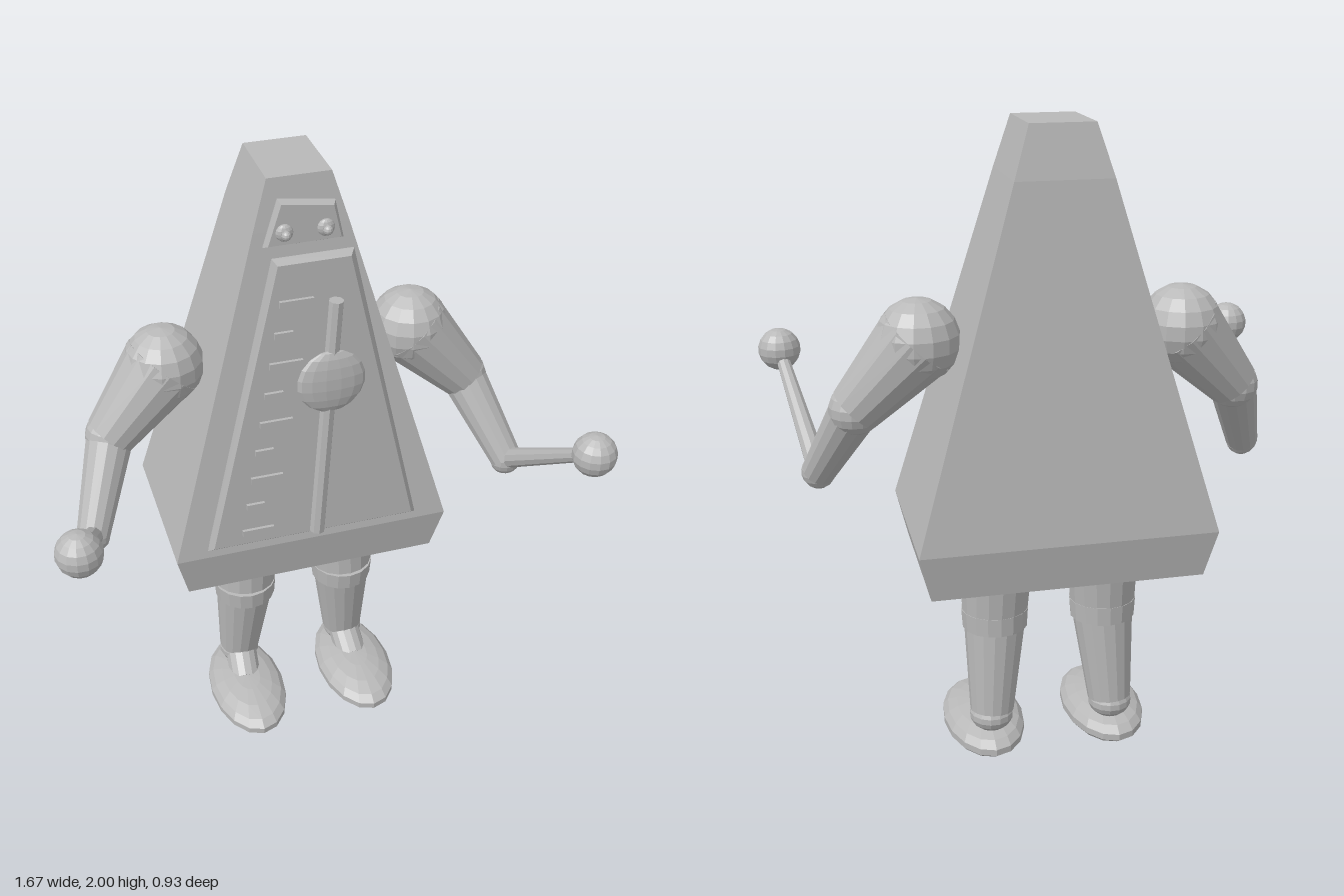
import * as THREE from 'three';

const grey = new THREE.MeshStandardMaterial({ color: 0xb8b8b8, flatShading: true });
grey.name = 'plain grey';
const V = (x, y, z) => new THREE.Vector3(x, y, z);

export function createModel() {
  const model = new THREE.Group();
  model.name = 'metronomeRobot';

  function add(name, geometry, parent = model) {
    const mesh = new THREE.Mesh(geometry, grey);
    mesh.name = name;
    parent.add(mesh);
    return mesh;
  }
  // Ball, stretched by separate radii where needed
  function ball(name, c, rx, ry = rx, rz = rx, parent = model, w = 14, h = 9) {
    const m = add(name, new THREE.SphereGeometry(1, w, h), parent);
    m.position.copy(c);
    m.scale.set(rx, ry, rz);
    return m;
  }
  // Tapered rod from a to b
  function limb(name, a, b, ra, rb, parent = model, sides = 14) {
    const d = b.clone().sub(a);
    const m = add(name, new THREE.CylinderGeometry(rb, ra, d.length(), sides), parent);
    m.position.copy(a).addScaledVector(d, 0.5);
    m.quaternion.setFromUnitVectors(V(0, 1, 0), d.normalize());
    return m;
  }
  // Bevelled plaque from outline points, spanning z0 to z1
  function plaque(name, points, z0, z1, bevel) {
    const shape = new THREE.Shape(points.map(p => new THREE.Vector2(p[0], p[1])));
    const t = (z1 - z0) / 2;
    const g = new THREE.ExtrudeGeometry(shape, {
      depth: 0.004, bevelEnabled: true, bevelSegments: 1,
      bevelThickness: t - 0.002, bevelSize: bevel, bevelOffset: -bevel,
    });
    g.translate(0, 0, z0 + t - 0.002);
    return add(name, g);
  }

  // Case: rectangular sections [y, half width, front z, back z]
  const levels = [
    [0.675, 0.41, 0.05, -0.44], [0.82, 0.445, 0.073, -0.465],
    [1.85, 0.142, -0.053, -0.35], [2, 0.095, -0.073, -0.32],
  ];
  const pos = [], idx = [];
  levels.forEach(([y, w, f, b]) => pos.push(-w, y, f, w, y, f, w, y, b, -w, y, b));
  for (let l = 0; l < 3; l++) {
    for (let i = 0; i < 4; i++) {
      const a = l * 4 + i, b = l * 4 + (i + 1) % 4;
      idx.push(a, b, b + 4, a, b + 4, a + 4);
    }
  }
  idx.push(12, 13, 14, 12, 14, 15, 0, 2, 1, 0, 3, 2);
  const caseGeo = new THREE.BufferGeometry();
  caseGeo.setAttribute('position', new THREE.Float32BufferAttribute(pos, 3));
  caseGeo.setIndex(idx);
  const flatCase = caseGeo.toNonIndexed();
  flatCase.computeVertexNormals();
  add('case', flatCase);

  // Front panel and face plate
  plaque('frontPanel', [[-0.345, 0.845], [0.342, 0.845], [0.115, 1.83], [-0.122, 1.83]], 0.05, 0.085, 0.016);
  plaque('facePlate', [[-0.118, 1.81], [0.12, 1.81], [0.094, 1.928], [-0.074, 1.952]], -0.058, -0.022, 0.01);

  // Scale marks, alternately long and short
  for (let i = 0; i < 9; i++) {
    const w = i % 2 ? 0.056 : 0.1;
    const mark = add('scaleMark', new THREE.BoxGeometry(w, 0.02, 0.02));
    mark.position.set(-0.108 - i * 0.016 + w / 2, 1.696 - i * 0.0988, 0.085);
  }

  // Pendulum
  limb('pendulumRod', V(0, 0.88, 0.108), V(0.053, 1.695, 0.108), 0.024, 0.022, model, 8);
  ball('pendulumWeight', V(0.037, 1.437, 0.12), 0.104, 0.104, 0.025);

  // Eyes
  for (const x of [-0.063, 0.058]) {
    limb('eyeStalk', V(x, 1.863, -0.03), V(x, 1.863, 0.005), 0.017, 0.013, model, 10);
    ball('eye', V(x, 1.863, -0.008), 0.026, 0.026, 0.014, model, 12, 8);
    ball('pupil', V(x, 1.863, 0.012), 0.014, 0.014, 0.014, model, 10, 6);
  }

  // Arms and legs, mirrored
  for (const s of [-1, 1]) {
    const side = s > 0 ? 'left' : 'right';
    const arm = new THREE.Group();
    arm.name = side + 'Arm';
    const shoulder = V(s * 0.395, 1.385, -0.197), elbow = V(s * 0.58, 1.18, -0.165);
    const wrist = V(s * 0.685, 0.935, 0), tip = V(s * 0.767, 1.215, 0.403);
    ball('shoulder', shoulder, 0.125, 0.125, 0.125, arm);
    limb('upperArm', shoulder, elbow, 0.125, 0.08, arm);
    ball('elbow', elbow, 0.078, 0.078, 0.078, arm);
    limb('forearm', elbow, wrist, 0.074, 0.052, arm);
    ball('hand', wrist, 0.053, 0.056, 0.045, arm);
    limb('beater', wrist, tip, 0.034, 0.02, arm, 10);
    ball('beaterBall', tip, 0.068, 0.068, 0.068, arm);
    model.add(arm);

    const leg = new THREE.Group();
    leg.name = side + 'Leg';
    const knee = V(s * 0.174, 0.47, -0.166), ankle = V(s * 0.193, 0.16, -0.203);
    limb('thigh', V(s * 0.168, 0.72, -0.18), V(s * 0.174, 0.5, -0.166), 0.115, 0.104, leg, 16);
    limb('kneeBand', V(s * 0.174, 0.5, -0.166), V(s * 0.174, 0.44, -0.168), 0.106, 0.102, leg, 16);
    limb('shin', knee, ankle, 0.098, 0.069, leg, 16);
    ball('ankle', V(s * 0.195, 0.145, -0.203), 0.07, 0.055, 0.07, leg);
    limb('instep', V(s * 0.193, 0.15, -0.19), V(s * 0.2, 0.08, -0.1), 0.055, 0.055, leg);
    ball('foot', V(s * 0.2, 0.06, -0.08), 0.13, 0.06, 0.235, leg, 16, 9);
    model.add(leg);
  }
  return model;
}
